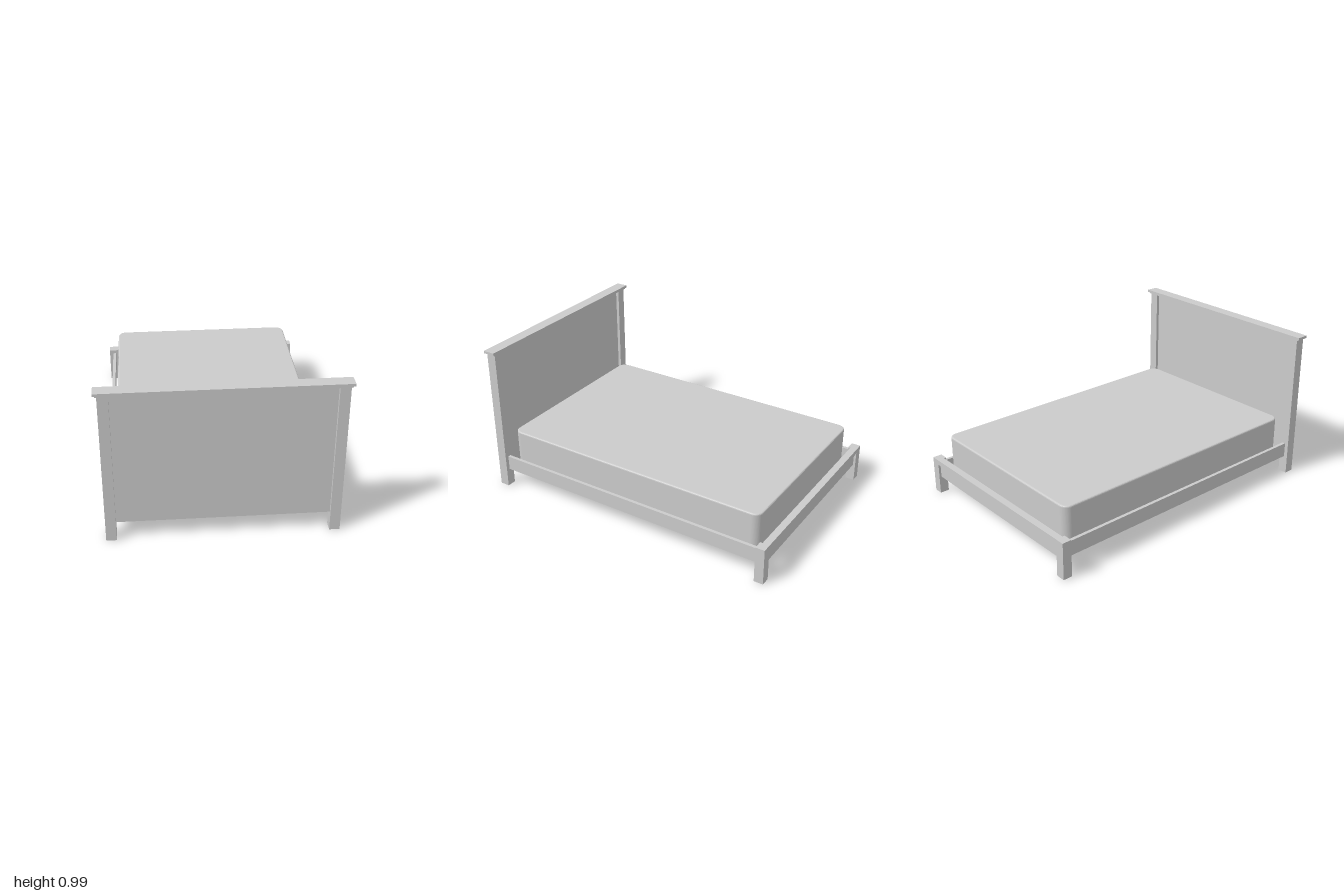
import * as THREE from 'three';

const material = new THREE.MeshStandardMaterial({ color: 0xcccccc });

// Box given by its min/max along each axis
function slab(name, [x0, x1], [y0, y1], [z0, z1]) {
  const mesh = new THREE.Mesh(new THREE.BoxGeometry(x1 - x0, y1 - y0, z1 - z0), material);
  mesh.position.set((x0 + x1) / 2, (y0 + y1) / 2, (z0 + z1) / 2);
  mesh.name = name;
  return mesh;
}

// The same box on the left and the right
function pair(name, [x0, x1], y, z) {
  return [slab(name + 'Left', [x0, x1], y, z), slab(name + 'Right', [-x1, -x0], y, z)];
}

function section(name, ...parts) {
  const group = new THREE.Group();
  group.name = name;
  group.add(...parts.flat());
  return group;
}

// Rounded-corner block with slightly softened top and bottom edges
function createMattress() {
  const bevel = 0.01, hx = 0.612 - bevel, hz = 0.913 - bevel, r = 0.045;
  const y0 = 0.14, y1 = 0.4;
  const shape = new THREE.Shape();
  shape.absarc(hx - r, hz - r, r, 0, Math.PI / 2);
  shape.absarc(-hx + r, hz - r, r, Math.PI / 2, Math.PI);
  shape.absarc(-hx + r, -hz + r, r, Math.PI, Math.PI * 1.5);
  shape.absarc(hx - r, -hz + r, r, Math.PI * 1.5, Math.PI * 2);
  const geometry = new THREE.ExtrudeGeometry(shape, {
    depth: y1 - y0 - 2 * bevel,
    bevelThickness: bevel,
    bevelSize: bevel,
    bevelSegments: 3,
    curveSegments: 10,
  });
  geometry.rotateX(-Math.PI / 2);
  geometry.translate(0, y0 + bevel, -0.007);
  const mesh = new THREE.Mesh(geometry, material);
  mesh.name = 'mattress';
  return mesh;
}

export function createModel() {
  const model = new THREE.Group();
  model.name = 'bed';

  // Tall headboard: posts, recessed panel, moulding and cap
  model.add(section('headboard',
    pair('headPost', [0.625, 0.687], [0, 0.966], [0.934, 0.997]),
    slab('headPanel', [-0.626, 0.626], [0.115, 0.966], [0.955, 0.976]),
    slab('headMoulding', [-0.698, 0.698], [0.964, 0.972], [0.928, 0.998]),
    slab('headCap', [-0.71, 0.71], [0.972, 0.988], [0.922, 1]),
  ));

  // Low footboard: posts, top rail and recessed panel
  model.add(section('footboard',
    pair('footPost', [0.628, 0.687], [0, 0.24], [-1, -0.94]),
    slab('footTopRail', [-0.629, 0.629], [0.208, 0.24], [-1, -0.955]),
    slab('footPanel', [-0.629, 0.629], [0.115, 0.209], [-0.985, -0.962]),
  ));

  // Long rails between the posts
  model.add(section('sideRails',
    pair('sideRail', [0.641, 0.662], [0.118, 0.215], [-0.941, 0.935]),
  ));

  model.add(createMattress());
  return model;
}
